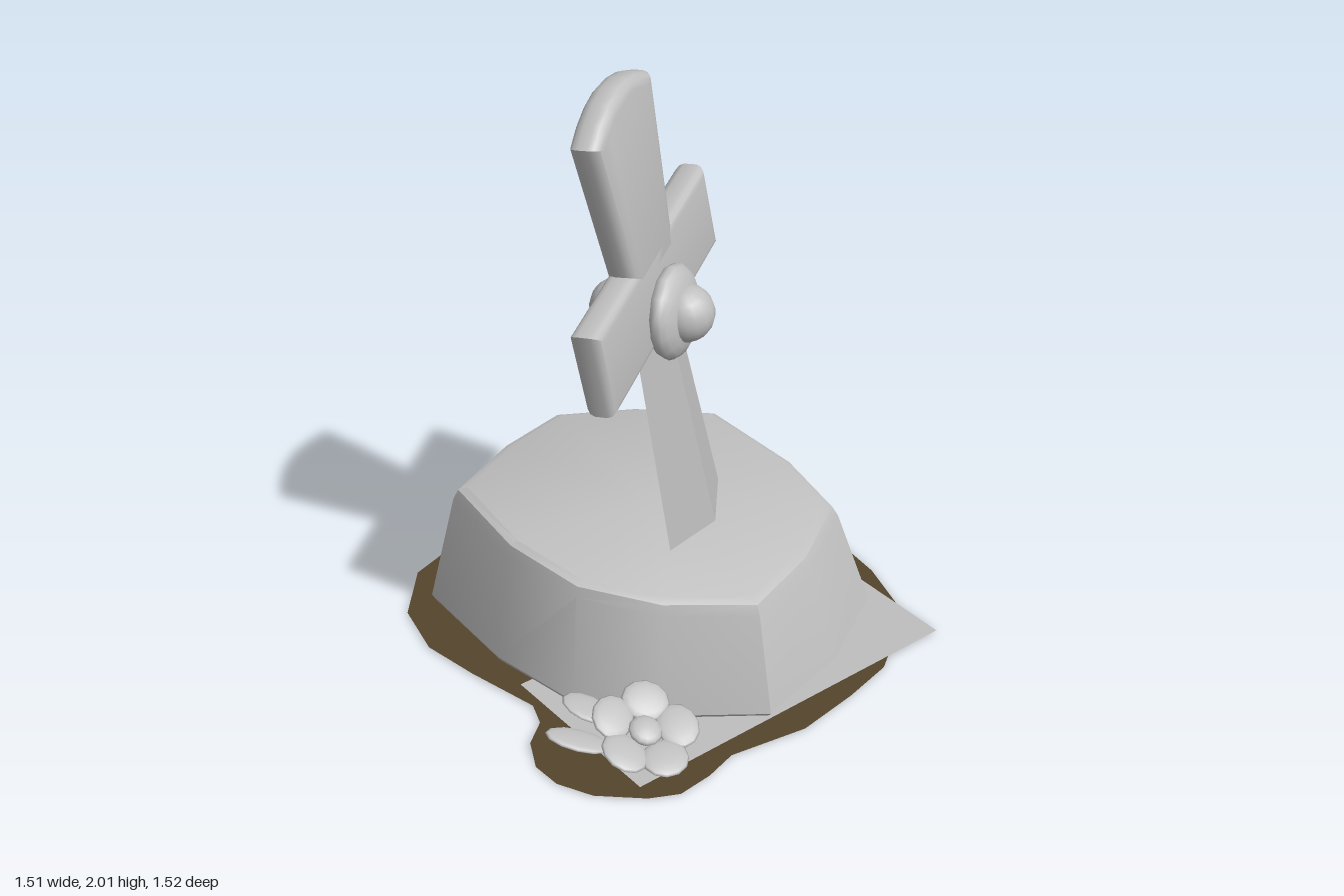
import * as THREE from 'three';
import { toCreasedNormals } from 'three/addons/utils/BufferGeometryUtils.js';

const mat = (name, color, side = THREE.FrontSide) => {
  const m = new THREE.MeshStandardMaterial({ color, side });
  m.name = name;
  return m;
};

// Bevelled slab, centred on its own thickness
function slab(points, thickness, bevel) {
  const shape = new THREE.Shape(points.map(([x, y]) => new THREE.Vector2(x, y)));
  const depth = thickness - 2 * bevel;
  const g = new THREE.ExtrudeGeometry(shape, {
    depth, bevelThickness: bevel, bevelSize: bevel, bevelOffset: -bevel, bevelSegments: 3,
  });
  g.translate(0, 0, -depth / 2);
  return toCreasedNormals(g, 0.6);
}

// Tapered boulder with a sloping top, lofted from a foot outline to a top outline
function boulderGeometry() {
  // foot x, foot z, top x, top z
  const outline = [
    [0.635, 0.05, 0.54, 0.05], [0.6, 0.4, 0.5, 0.31], [0.3, 0.57, 0.25, 0.46],
    [-0.05, 0.655, -0.03, 0.555], [-0.33, 0.45, -0.28, 0.4], [-0.5, 0.23, -0.45, 0.19],
    [-0.56, -0.1, -0.51, -0.08], [-0.545, -0.51, -0.49, -0.4], [-0.25, -0.625, -0.22, -0.515],
    [0.05, -0.69, 0.03, -0.57], [0.35, -0.56, 0.28, -0.46], [0.6, -0.32, 0.5, -0.3],
  ];
  const topY = (x, z) => 0.44 - 0.105 * z - 0.03 * x;
  // [blend from foot to top, height fraction, inset]
  const rings = [[0, 0.015, 0.985], [0, 0.05, 1], [0.85, 0.89, 1], [0.95, 0.97, 0.99], [1, 1, 0.95]];
  const n = outline.length, pos = [], index = [];
  for (const [t, h, s] of rings) {
    for (const [bx, bz, tx, tz] of outline) {
      const x = (bx + (tx - bx) * t) * s, z = (bz + (tz - bz) * t) * s;
      pos.push(x, topY(x, z) * h, z);
    }
  }
  const centre = pos.length / 3;
  pos.push(0, topY(0, 0), 0);
  for (let r = 0; r < rings.length - 1; r++) {
    for (let i = 0; i < n; i++) {
      const j = (i + 1) % n, a = r * n + i, b = r * n + j;
      index.push(a, a + n, b, b, a + n, b + n);
    }
  }
  const last = (rings.length - 1) * n;
  for (let i = 0; i < n; i++) index.push(centre, last + (i + 1) % n, last + i);
  const g = new THREE.BufferGeometry();
  g.setAttribute('position', new THREE.Float32BufferAttribute(pos, 3));
  g.setIndex(index);
  return toCreasedNormals(g, 0.55);
}

export function createModel() {
  const model = new THREE.Group();
  model.name = 'swordInStone';
  const stone = mat('stone grey', 0xbfbfbf);
  const sheet = mat('sheet grey', 0xbfbfbf, THREE.DoubleSide);
  sheet.name = stone.name;
  const soil = mat('soil brown', 0x55452d, THREE.DoubleSide);

  const add = (parent, name, geometry, material, x = 0, y = 0, z = 0) => {
    const m = new THREE.Mesh(geometry, material);
    m.name = name;
    m.position.set(x, y, z);
    parent.add(m);
    return m;
  };

  // Soil patch with a lobe under the flower
  const patch = [
    [-0.08, -0.765], [0.15, -0.755], [0.37, -0.66], [0.55, -0.54], [0.68, -0.37], [0.73, -0.15],
    [0.755, 0.08], [0.73, 0.28], [0.67, 0.46], [0.58, 0.57], [0.4, 0.69], [0.22, 0.73], [0, 0.76],
    [-0.26, 0.715], [-0.37, 0.745], [-0.49, 0.755], [-0.58, 0.71], [-0.7, 0.6], [-0.755, 0.49],
    [-0.76, 0.39], [-0.71, 0.29], [-0.63, 0.23], [-0.6, 0.15], [-0.66, -0.1], [-0.695, -0.3],
    [-0.65, -0.5], [-0.5, -0.67], [-0.29, -0.735],
  ].map(([x, z]) => new THREE.Vector2(x, z));
  const soilGeometry = new THREE.ShapeGeometry(new THREE.Shape(patch)).rotateX(Math.PI / 2);
  add(model, 'soilPatch', soilGeometry, soil, 0, 0.004, 0);

  // Thin ground sheet, sloping slightly through the soil
  const sheetGeometry = new THREE.PlaneGeometry(1.235, 1.24).rotateX(-Math.PI / 2 - 0.0065);
  const ground = add(model, 'groundSheet', sheetGeometry, sheet, 0.0475, 0.004, 0.04);
  ground.rotation.x = -0.0001;

  add(model, 'boulder', boulderGeometry(), stone);

  // Sword, turned about its own length and leaning sideways
  const sword = new THREE.Group();
  sword.name = 'sword';
  sword.position.set(-0.115, 1.325, 0.115);
  sword.rotation.set(0, Math.PI / 6, 0.21, 'ZYX');
  model.add(sword);

  const blade = new THREE.CylinderGeometry(0.14, 0.215, 1, 4).scale(1, 1, 0.33);
  add(sword, 'blade', toCreasedNormals(blade, 0.3), stone, 0, -0.5, 0);

  add(sword, 'crossguard',
    slab([[-0.435, -0.145], [0.435, -0.145], [0.435, 0.145], [-0.435, 0.145]], 0.1, 0.03), stone);

  // Flared grip with an arched end
  const grip = [[-0.14, 0.05], [0.14, 0.05]];
  for (let i = 0; i <= 6; i++) {
    const k = 1 - i / 3;
    grip.push([0.21 * k, 0.62 + 0.07 * (1 - k * k)]);
  }
  add(sword, 'grip', slab(grip, 0.1, 0.035), stone);

  // Round boss and gem on both faces
  for (const side of [1, -1]) {
    const boss = add(sword, 'boss', new THREE.SphereGeometry(0.147, 14, 12).rotateX(Math.PI / 2),
      stone, 0, -0.085, side * 0.07);
    boss.scale.z = 0.42;
    add(sword, 'gem', new THREE.SphereGeometry(0.09, 16, 12), stone, 0, -0.085, side * 0.108);
  }

  // Flower with five petals, tipped towards the front
  const flower = new THREE.Group();
  flower.name = 'flower';
  flower.position.set(-0.455, 0.078, 0.535);
  flower.rotation.x = 0.4;
  model.add(flower);
  const bead = new THREE.SphereGeometry(1, 12, 8);
  add(flower, 'flowerCentre', bead, stone, 0, 0.008, 0).scale.set(0.053, 0.022, 0.053);
  for (let i = 0; i < 5; i++) {
    const arm = new THREE.Group();
    arm.name = 'petalArm';
    arm.rotation.y = i * Math.PI * 2 / 5;
    flower.add(arm);
    const petal = add(arm, 'petal', bead, stone, 0, 0.006, 0.107);
    petal.scale.set(0.077, 0.016, 0.068);
    petal.rotation.x = -0.15;
  }

  // Leaves behind the flower: x, y, z, turn, length, width
  for (const [x, y, z, turn, length, width] of [
    [-0.635, 0.075, 0.44, -0.69, 0.105, 0.05],
    [-0.53, 0.085, 0.345, -1.0, 0.085, 0.055],
  ]) {
    const leaf = add(model, 'leaf', bead, stone, x, y, z);
    leaf.scale.set(length, 0.012, width);
    leaf.rotation.set(0, turn, -0.28, 'YXZ');
  }
  return model;
}
